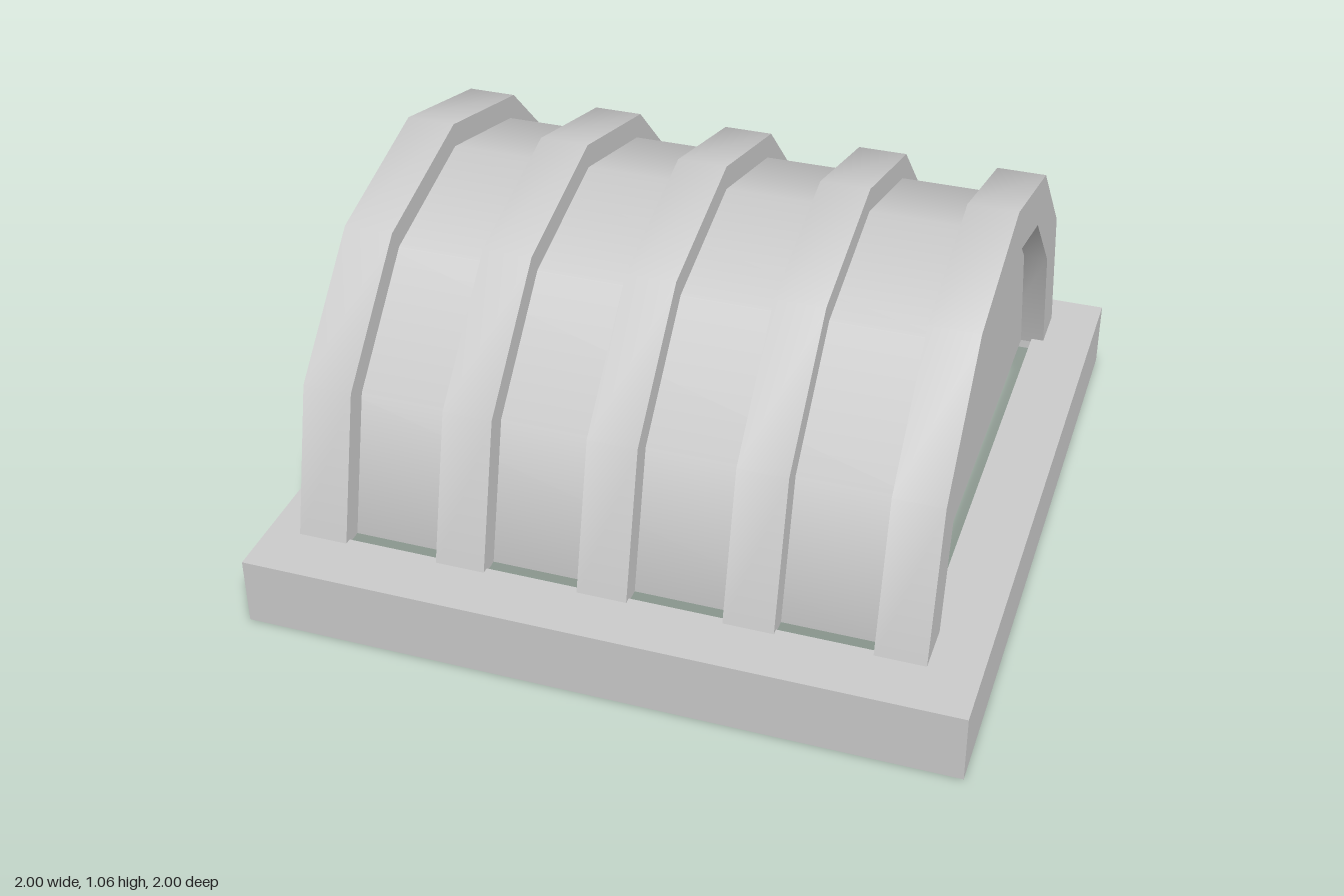
import * as THREE from 'three';
import { toCreasedNormals } from 'three/addons/utils/BufferGeometryUtils.js';

const SIDES = 6;                       // facets in each half-circle arch
const SHELL_R = 0.8, RIB_OUT = 0.87, RIB_IN = 0.727;
const RIB_W = 0.14, RIB_STEP = 0.406, RIB_COUNT = 5;
const HALF_LENGTH = RIB_STEP * (RIB_COUNT - 1) / 2;

const solid = new THREE.MeshStandardMaterial({ color: 0xcccccc });
const thin = new THREE.MeshStandardMaterial({ color: 0xcccccc, side: THREE.DoubleSide });

function addMesh(parent, name, geometry, material) {
  const mesh = new THREE.Mesh(geometry, material);
  mesh.name = name;
  parent.add(mesh);
  return mesh;
}

// Points of a coarse half circle, from +x over the top to -x
function arc(radius) {
  return Array.from({ length: SIDES + 1 }, (_, i) => {
    const a = Math.PI * i / SIDES;
    return new THREE.Vector2(Math.cos(a) * radius, Math.sin(a) * radius);
  });
}

// Solid arch band running across z, centred on x = 0
function ribGeometry() {
  const shape = new THREE.Shape([...arc(RIB_OUT), ...arc(RIB_IN).reverse()]);
  const geo = new THREE.ExtrudeGeometry(shape, { depth: RIB_W, bevelEnabled: false });
  geo.translate(0, 0, -RIB_W / 2);
  geo.rotateY(Math.PI / 2);
  return toCreasedNormals(geo, 0.62);
}

// Hollow plinth: four thin walls and a top with a square opening
function createBase() {
  const base = new THREE.Group();
  base.name = 'base';
  for (let i = 0; i < 4; i++) {
    const geo = new THREE.PlaneGeometry(2, 0.2).translate(0, 0.1, 1).rotateY(i * Math.PI / 2);
    addMesh(base, 'baseWall', geo, thin);
  }
  const square = (h) => [[-h, -h], [h, -h], [h, h], [-h, h]].map(([x, y]) => new THREE.Vector2(x, y));
  const top = new THREE.Shape(square(1));
  top.holes.push(new THREE.Path(square(0.82)));
  addMesh(base, 'baseTop', new THREE.ShapeGeometry(top).rotateX(-Math.PI / 2).translate(0, 0.2, 0), thin);
  return base;
}

// Vaulted shelter with ribs and closed ends
function createVault() {
  const vault = new THREE.Group();
  vault.name = 'vault';
  vault.position.set(-0.025, 0.187, -0.027);

  // Thin roof shell: half a cylinder laid along x
  const shell = new THREE.CylinderGeometry(SHELL_R, SHELL_R, HALF_LENGTH * 2, SIDES, 1, true, 0, Math.PI);
  shell.rotateZ(Math.PI / 2);
  addMesh(vault, 'roofShell', shell, thin);

  // Flat end walls, set in the middle of the outer ribs
  for (const side of [-1, 1]) {
    const wall = new THREE.ShapeGeometry(new THREE.Shape(arc(SHELL_R))).rotateY(side * Math.PI / 2);
    addMesh(vault, 'endWall', wall, thin).position.x = side * HALF_LENGTH;
  }

  // Evenly spaced ribs
  const rib = ribGeometry();
  for (let i = 0; i < RIB_COUNT; i++) {
    addMesh(vault, 'rib', rib, solid).position.x = i * RIB_STEP - HALF_LENGTH;
  }
  return vault;
}

export function createModel() {
  const model = new THREE.Group();
  model.name = 'ribbedShelter';
  model.add(createBase(), createVault());
  return model;
}
